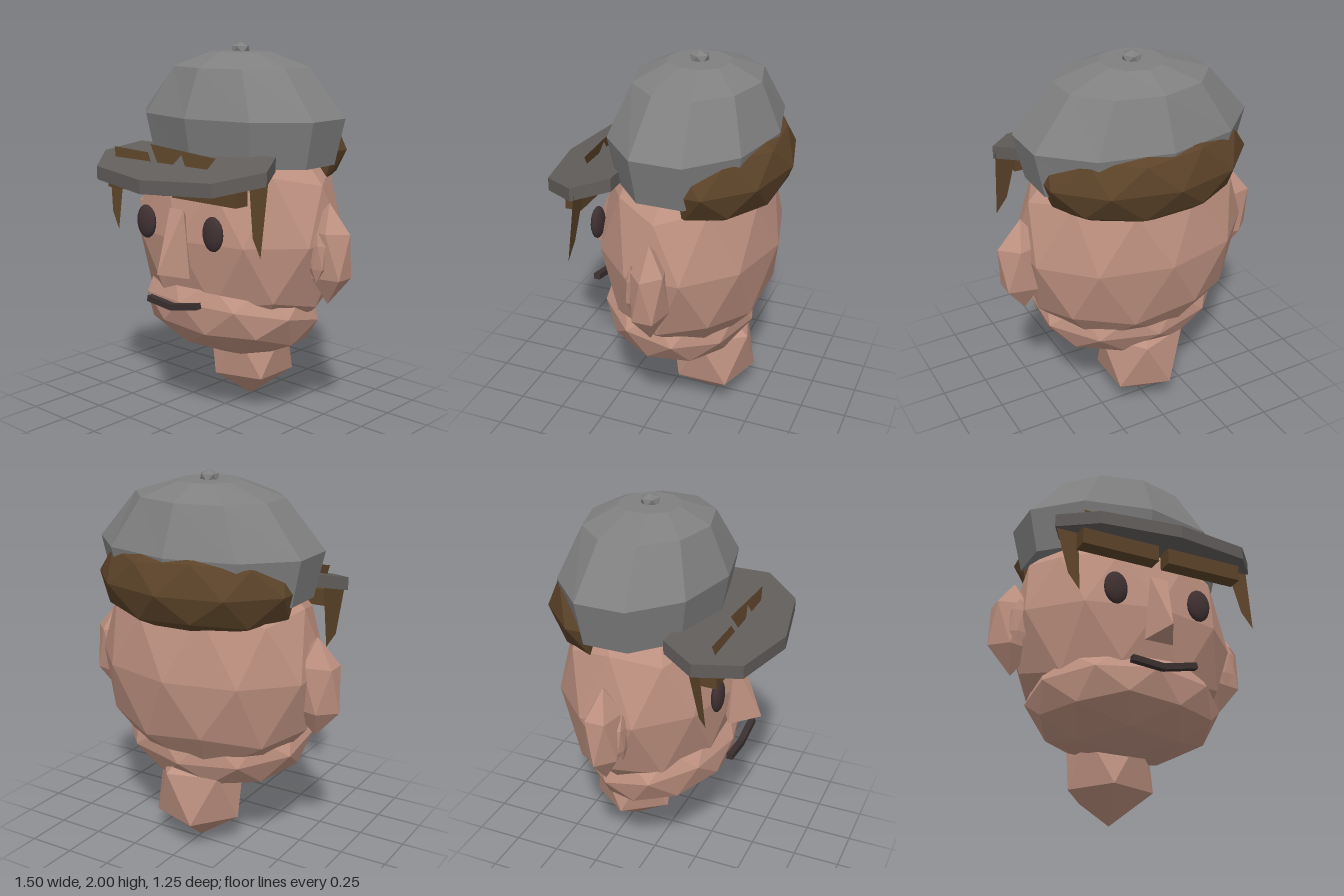
import * as THREE from 'three';
import { ConvexGeometry } from 'three/addons/geometries/ConvexGeometry.js';

const V = (x, y, z) => new THREE.Vector3(x, y, z);

function material(name, color, flat = true) {
  const m = new THREE.MeshStandardMaterial({ color, flatShading: flat, side: THREE.DoubleSide });
  m.name = name;
  return m;
}

// Faceted ball with a corner at each pole and one ring corner towards +x
function facetedBall(rx, ry, rz, detail = 0) {
  const g = new THREE.IcosahedronGeometry(1, detail);
  g.rotateX(-Math.atan((1 + Math.sqrt(5)) / 2));
  g.rotateY(Math.PI / 2);
  return g.scale(rx, ry, rz);
}

// Moves every vertex by a rule
function reshape(g, rule) {
  const p = g.attributes.position, v = V(0, 0, 0);
  for (let i = 0; i < p.count; i++) {
    v.fromBufferAttribute(p, i);
    rule(v, i);
    p.setXYZ(i, v.x, v.y, v.z);
  }
  g.computeVertexNormals();
  return g;
}

const outline = (pts) => new THREE.Shape(pts.map(([x, y]) => new THREE.Vector2(x, y)));

export function createModel() {
  const group = new THREE.Group();
  group.name = 'cappedHead';

  const skin = material('skin', 0xbe9180);
  const hair = material('hair', 0x5c4329);
  const wool = material('capGrey', 0x808080);
  const peak = material('brimGrey', 0x625e5c);
  const dark = material('eyeDark', 0x403132, false);
  const lips = material('mouthDark', 0x3a2f2f);

  function add(name, geometry, mat, x = 0, y = 0, z = 0) {
    const m = new THREE.Mesh(geometry, mat);
    m.name = name;
    m.position.set(x, y, z);
    group.add(m);
    return m;
  }

  // Skull, jaw and neck
  add('head', facetedBall(0.64, 0.66, 0.47, 1), skin, 0, 1.0, -0.1);
  add('jaw', facetedBall(0.54, 0.28, 0.41, 1), skin, 0, 0.59, -0.04).rotation.x = -0.2;
  add('neck', facetedBall(0.263, 0.3, 0.26), skin, 0, 0.3, -0.22);

  // Nose wedge
  add('nose', new ConvexGeometry([
    V(0, 0.85, 0.515), V(-0.05, 1.17, 0.37), V(0.05, 1.17, 0.37),
    V(-0.08, 0.81, 0.36), V(0.08, 0.81, 0.36), V(0, 1.0, 0.25),
  ]), skin);

  // Ears, eyes and brows
  for (const s of [-1, 1]) {
    const side = s > 0 ? 'left' : 'right';
    add(side + 'Ear', facetedBall(0.147, 0.265, 0.1), skin, s * 0.62, 0.95, -0.1);
    add(side + 'EarFlap', facetedBall(0.06, 0.135, 0.018), skin, s * 0.62, 0.95, 0);
    add(side + 'Eye', new THREE.SphereGeometry(1, 16, 10).scale(0.066, 0.09, 0.03),
      dark, s * 0.24, 1.07, 0.356);
    add(side + 'Brow', new THREE.BoxGeometry(0.43, 0.09, 0.085), hair, s * 0.242, 1.285, 0.385);
  }

  // Mouth: two bars meeting at a bend
  const bend = V(0, 0.655, 0.405);
  for (const end of [V(-0.175, 0.672, 0.405), V(0.185, 0.695, 0.405)]) {
    const d = end.clone().sub(bend);
    const bar = add('mouth', new THREE.BoxGeometry(d.length(), 0.032, 0.035), lips);
    bar.position.copy(bend).addScaledVector(d, 0.5);
    bar.rotation.z = Math.atan(d.y / d.x);
  }

  // Cap crown: [half width, height, half depth] from bottom to top
  const rings = [[0.001, 1.39, 0.001], [0.57, 1.385, 0.385], [0.625, 1.625, 0.43],
    [0.405, 1.875, 0.325], [0.165, 1.95, 0.165], [0.001, 1.952, 0.001]];
  const crown = new THREE.LatheGeometry(rings.map(([r, y]) => new THREE.Vector2(r, y)), 10);
  reshape(crown, (v, i) => {
    const [w, , d] = rings[i % rings.length];
    v.z *= d / w;
  });
  add('capCrown', crown, wool, 0, 0, -0.12);
  add('capButton', facetedBall(0.055, 0.04, 0.055), wool, 0, 1.96, -0.12);

  // Brim: flat plate sloping down to the front
  const brim = new THREE.ExtrudeGeometry(outline([[-0.48, 0.16], [0.48, 0.16], [0.575, 0.34],
    [0.41, 0.545], [0, 0.625], [-0.41, 0.545], [-0.575, 0.34]]),
    { depth: 0.07, bevelEnabled: false }).rotateX(Math.PI / 2);
  reshape(brim, (v) => { v.y += 1.46 - 0.235 * (v.z - 0.16); });
  add('capBrim', brim, peak);

  // Hair at the back, cut flat in front
  const back = reshape(facetedBall(0.58, 0.3, 0.425, 1), (v) => { v.z = Math.min(v.z, -0.02); });
  add('backHair', back, hair, 0, 1.455, -0.2);

  // Thin pointed locks at the temples
  for (const x of [-0.565, 0.445]) {
    const lock = new THREE.ShapeGeometry(outline([[0, 1.38], [0.125, 1.38], [0.12, 1.0], [0.06, 1.09]]));
    reshape(lock, (v) => { v.z = 0.37 - 0.13 * (v.y - 1.0); });
    add('sideLock', lock, hair, x);
  }

  // Jagged fringe tips above the brim
  const tips = [
    [[-0.44, 1.455], [-0.41, 1.37], [-0.15, 1.37], [-0.15, 1.40], [-0.18, 1.447]],
    [[-0.17, 1.49], [-0.08, 1.37], [-0.02, 1.37], [0.06, 1.455], [0.12, 1.37],
      [0.22, 1.37], [0.295, 1.46]],
  ];
  for (const pts of tips) {
    const tip = new THREE.ShapeGeometry(outline(pts));
    reshape(tip, (v) => { v.z = 0.41 - 0.2 * (v.y - 1.37); });
    add('fringeTip', tip, hair);
  }

  return group;
}
